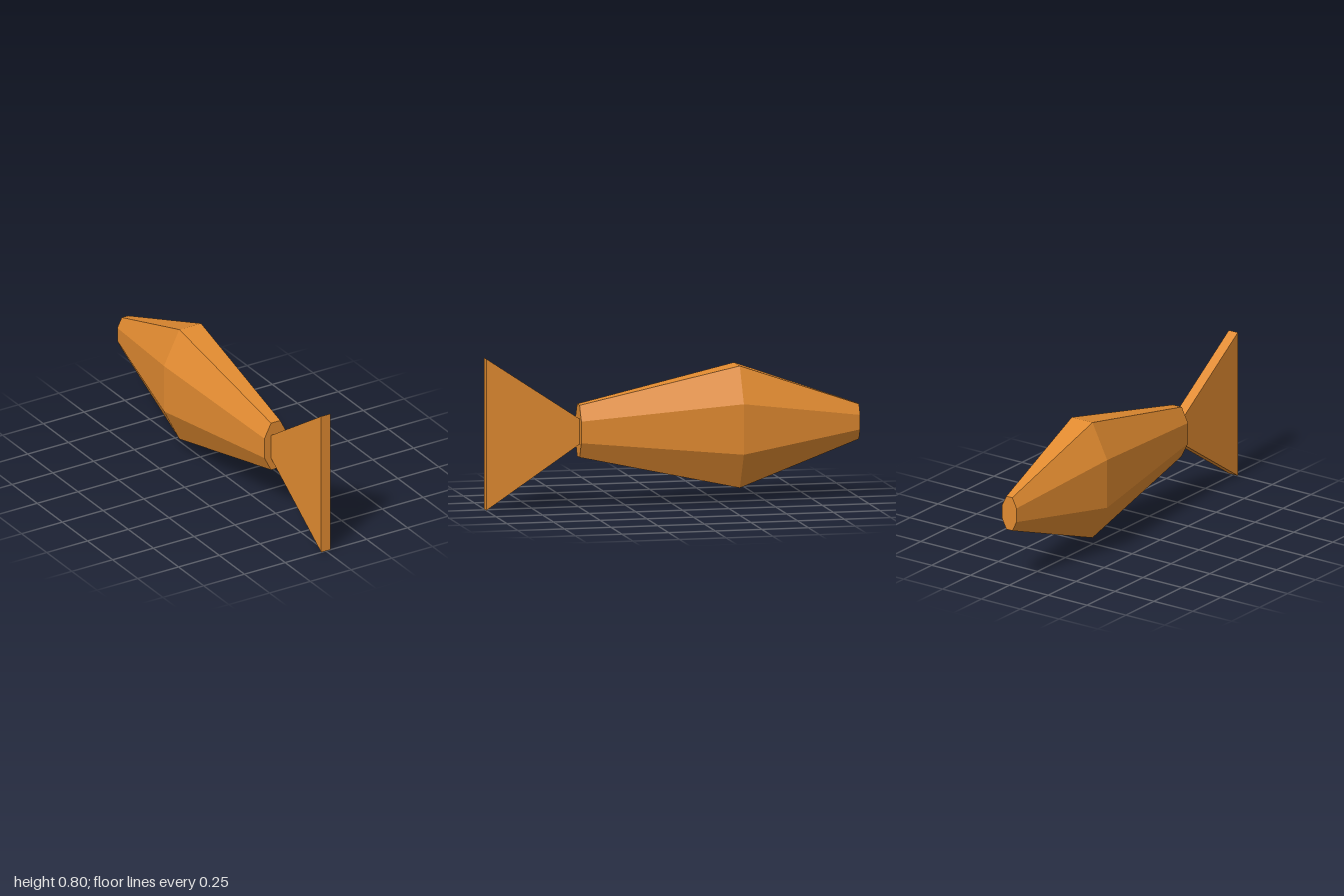
import * as THREE from 'three';

export function createModel() {
  const model = new THREE.Group();
  const orange = new THREE.MeshStandardMaterial({ color: 0xe08a30, flatShading: true });
  orange.name = 'orange';
  const midY = 0.401;

  // Body: eight-sided spindle along z, flattened sideways, with flat ends
  const profile = [[0, -1], [0.1, -1], [0.3485, -0.35], [0.149, 0.5], [0, 0.5]]
    .map(([r, z]) => new THREE.Vector2(r, z));
  const bodyGeometry = new THREE.LatheGeometry(profile, 8, Math.PI / 8);
  bodyGeometry.rotateX(Math.PI / 2).scale(0.5, 1, 1);
  const body = new THREE.Mesh(bodyGeometry, orange);
  body.name = 'body';
  body.position.y = midY;
  model.add(body);

  // Tail fin: thin triangular plate whose tip is sunk into the body
  const thickness = 0.058;
  const finShape = new THREE.Shape([
    new THREE.Vector2(-0.4, 0),
    new THREE.Vector2(-1, 0.4),
    new THREE.Vector2(-1, -0.4),
  ]);
  const finGeometry = new THREE.ExtrudeGeometry(finShape, { depth: thickness, bevelEnabled: false });
  finGeometry.translate(0, 0, -thickness / 2).rotateY(Math.PI / 2);
  const fin = new THREE.Mesh(finGeometry, orange);
  fin.name = 'tailFin';
  fin.position.y = 0.4;
  model.add(fin);

  return model;
}
